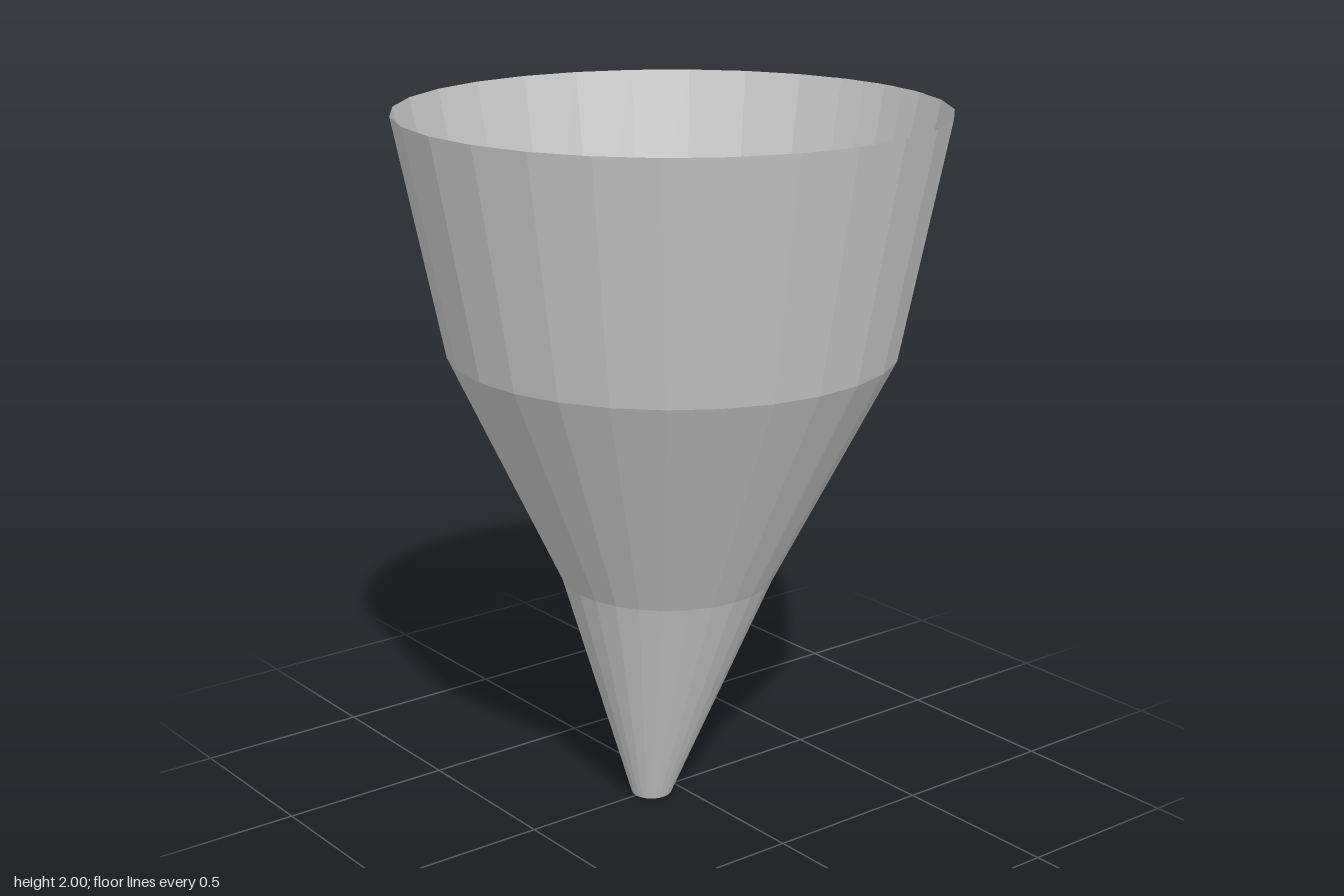
import * as THREE from 'three';

// Rings of the rolled sheet: height, radius, sideways shift of the centre
const RINGS = [
  { y: 0, r: 0.058, shift: -0.08 },
  { y: 0.667, r: 0.304, shift: -0.02 },
  { y: 1.333, r: 0.631, shift: -0.001 },
  { y: 2, r: 0.763, shift: -0.002 },
];

export function createModel() {
  const group = new THREE.Group();
  group.name = 'funnel';

  // A faceted sheet rolled slightly past a full turn, its ends overlapping at +x
  const segments = 30;
  const step = THREE.MathUtils.degToRad(13);
  const start = THREE.MathUtils.degToRad(-286.8);
  const profile = RINGS.map(({ y, r }) => new THREE.Vector2(r, y));
  const geometry = new THREE.LatheGeometry(profile, segments, start, 1);

  // Place every column by its own angle, leaning the tip off centre
  const pos = geometry.attributes.position;
  for (let i = 0; i < pos.count; i++) {
    const ring = RINGS[i % RINGS.length];
    const phi = start + Math.floor(i / RINGS.length) * step;
    pos.setXYZ(i, ring.shift + ring.r * Math.sin(phi), ring.y, ring.r * Math.cos(phi));
  }
  geometry.computeVertexNormals();

  const material = new THREE.MeshStandardMaterial({
    color: 0xcccccc,
    flatShading: true,
    side: THREE.DoubleSide,
  });
  const wall = new THREE.Mesh(geometry, material);
  wall.name = 'rolledWall';
  group.add(wall);
  return group;
}
